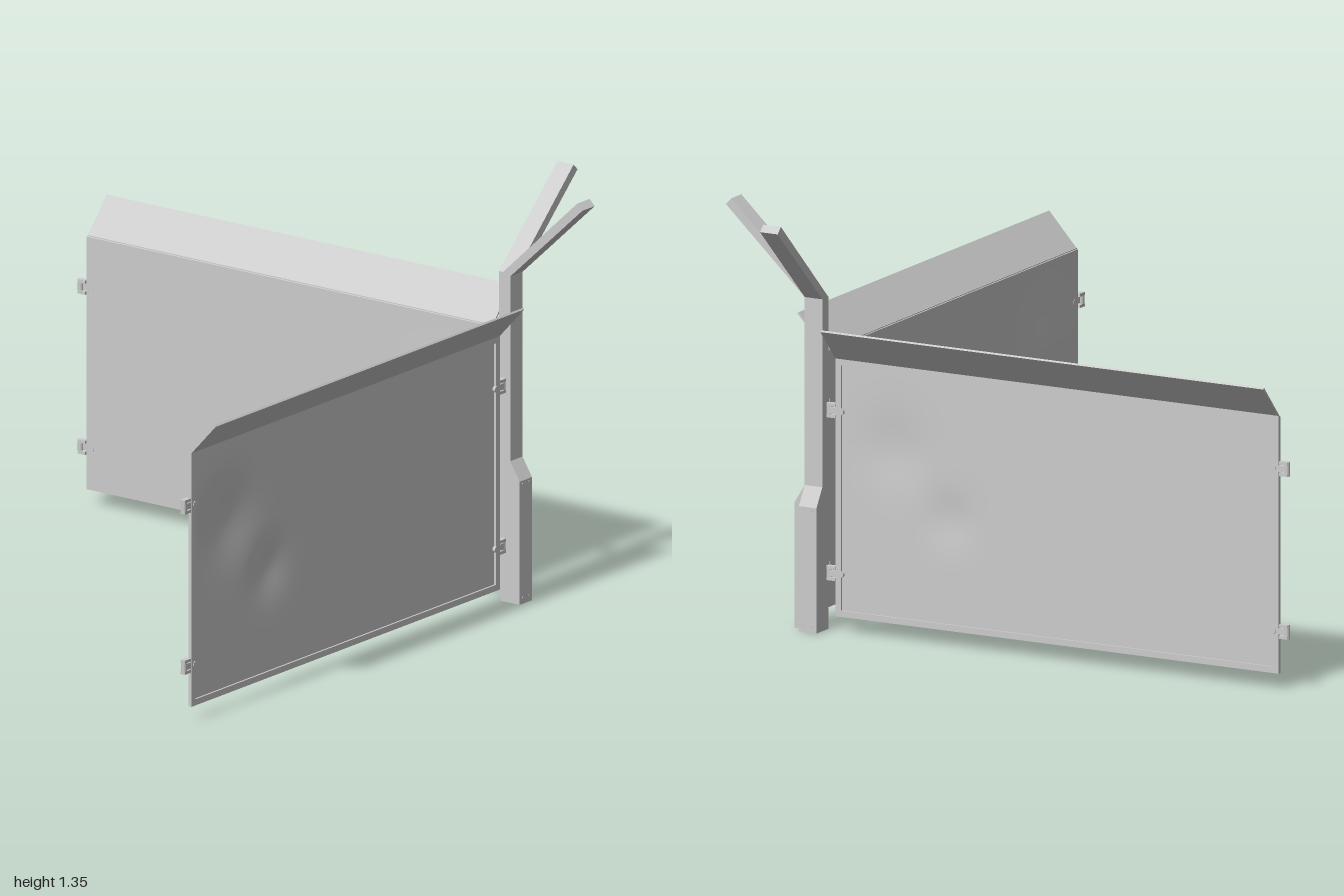
import * as THREE from 'three';

const steel = new THREE.MeshStandardMaterial({ color: 0xcccccc });
steel.name = 'galvanised grey';

const X0 = -0.965, X1 = 0.617, MID = (X0 + X1) / 2, WIDTH = X1 - X0;
const Y0 = 0.05, FOLD = 0.87;

function add(parent, name, geometry, x = 0, y = 0, z = 0) {
  const mesh = new THREE.Mesh(geometry, steel);
  mesh.name = name;
  mesh.position.set(x, y, z);
  parent.add(mesh);
  return mesh;
}

// Extrudes a side profile given as [outward, up] points
function extrude(points, depth) {
  const shape = new THREE.Shape(points.map(([u, v]) => new THREE.Vector2(u, v)));
  return new THREE.ExtrudeGeometry(shape, { depth, bevelEnabled: false });
}

// Thin sheet with shallow dents pushed towards the back
function dentedSheet() {
  const h = FOLD - Y0;
  const geo = new THREE.BoxGeometry(WIDTH, h, 0.005, 60, 30, 1);
  const dents = [[-0.76, 0.6, 0.11, 0.01], [-0.56, 0.4, 0.08, 0.009]];
  const p = geo.attributes.position;
  for (let i = 0; i < p.count; i++) {
    const x = p.getX(i) + MID, y = p.getY(i) + (Y0 + FOLD) / 2;
    let push = 0;
    for (const [cx, cy, r, d] of dents) {
      push += d * Math.exp(-((x - cx) ** 2 + (y - cy) ** 2) / (r * r));
    }
    p.setZ(i, p.getZ(i) - push);
  }
  geo.computeVertexNormals();
  return geo;
}

// Hinge clip; its outer end points along +x
function makeClip() {
  const clip = new THREE.Group();
  clip.name = 'hingeClip';
  add(clip, 'clipTongue', new THREE.BoxGeometry(0.045, 0.02, 0.008), -0.001, 0, 0.004);
  const eye = add(clip, 'clipBolt', new THREE.CylinderGeometry(0.01, 0.01, 0.016, 12), -0.022, 0, 0.004);
  eye.rotation.x = Math.PI / 2;
  for (const s of [-1, 1]) {
    add(clip, 'clipJaw', new THREE.BoxGeometry(0.03, 0.01, 0.018), 0.014, s * 0.018, 0);
  }
  add(clip, 'clipPin', new THREE.CylinderGeometry(0.009, 0.009, 0.046, 12), 0.023, 0, 0);
  return clip;
}

function makePanel(name) {
  const panel = new THREE.Group();
  panel.name = name;
  add(panel, 'sheet', dentedSheet(), MID, (Y0 + FOLD) / 2, 0.697);

  // Raised rim around the front
  const rim = 0.02, zRim = 0.702;
  for (const y of [Y0 + rim / 2, FOLD - rim / 2 + 0.004]) {
    add(panel, 'rimRail', new THREE.BoxGeometry(WIDTH, rim, 0.008), MID, y, zRim);
  }
  for (const x of [X0 + rim / 2, X1 - rim / 2]) {
    add(panel, 'rimStile', new THREE.BoxGeometry(rim, FOLD - Y0, 0.008), x, (Y0 + FOLD) / 2, zRim);
  }

  // Outward-sloping top flange
  const flange = extrude([[0.695, 0.868], [0.701, 0.868], [0.801, 0.977], [0.797, 0.982]], WIDTH);
  flange.rotateY(-Math.PI / 2);
  add(panel, 'topFlange', flange, X1);

  // Two clips on each side
  for (const y of [0.185, 0.705]) {
    for (const s of [-1, 1]) {
      const clip = makeClip();
      clip.position.set(MID + s * (WIDTH / 2 + 0.003), y, 0.697);
      if (s < 0) clip.rotation.z = Math.PI;
      panel.add(clip);
    }
  }
  return panel;
}

export function createModel() {
  const model = new THREE.Group();
  model.name = 'cornerFence';

  const frontPanel = makePanel('frontPanel');
  const sidePanel = makePanel('sidePanel');
  sidePanel.rotation.y = Math.PI / 2;
  sidePanel.position.z = -0.35;
  model.add(frontPanel, sidePanel);

  // Corner post: two crossing leaves, each with a thick foot and a bent arm
  const leaf = extrude([
    [0.68, 0], [0.755, 0], [0.755, 0.4], [0.718, 0.46], [0.718, 1.06],
    [1, 1.325], [0.98, 1.345], [0.68, 1.06],
  ], 0.063);
  const post = new THREE.Group();
  post.name = 'cornerPost';
  add(post, 'sideLeaf', leaf, 0, 0, 0.655);
  add(post, 'frontLeaf', leaf, 0.718).rotation.y = -Math.PI / 2;

  // Small bolts on the feet
  for (const y of [0.02, 0.39]) {
    for (const c of [0.67, 0.703]) {
      const bolt = new THREE.CylinderGeometry(0.003, 0.003, 0.004, 8);
      add(post, 'frontBolt', bolt, c, y, 0.755).rotation.x = Math.PI / 2;
      add(post, 'sideBolt', bolt, 0.755, y, c).rotation.z = Math.PI / 2;
    }
  }
  model.add(post);
  return model;
}
